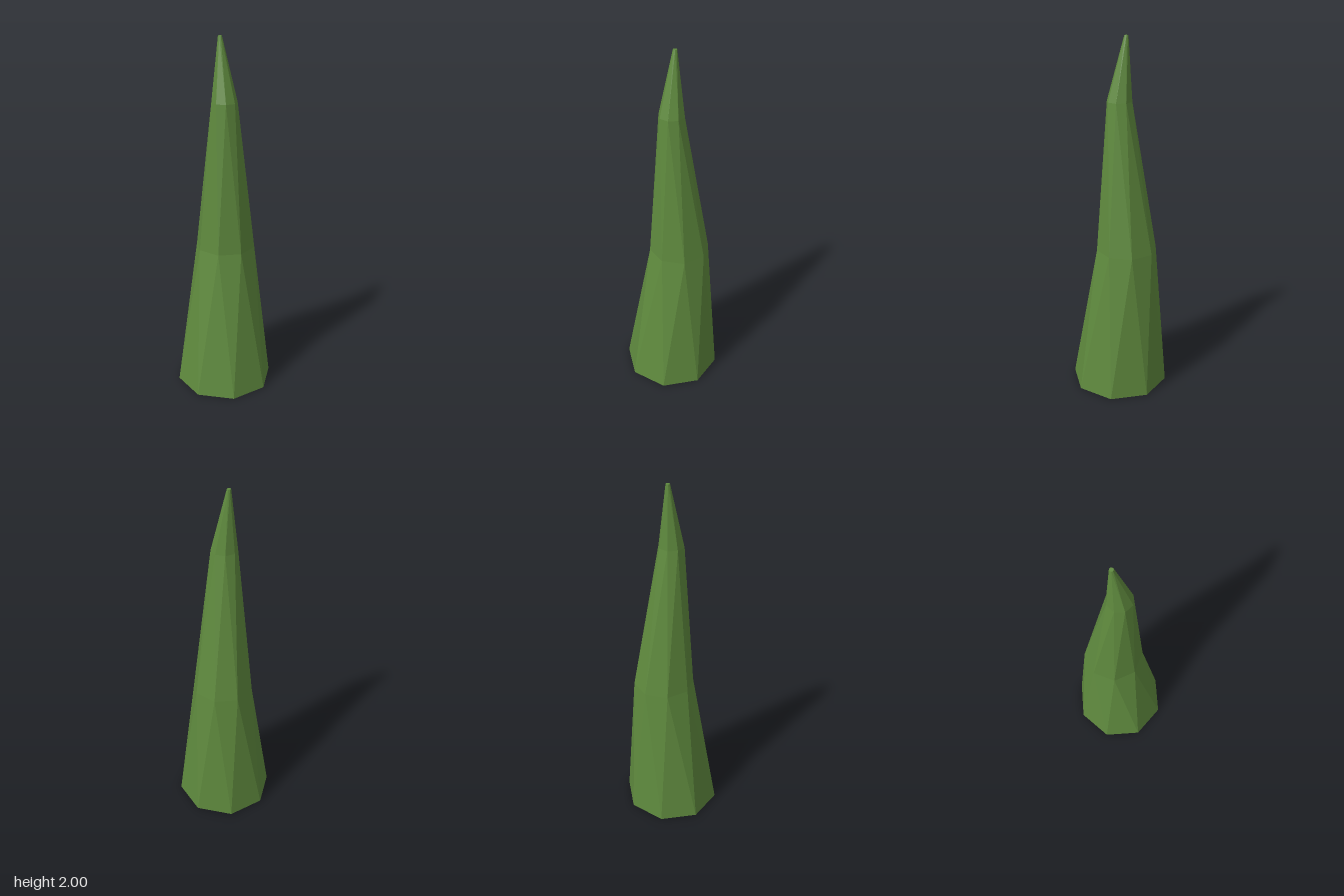
import * as THREE from 'three';

const SIDES = 8;
const TWIST = -20; // degrees of turn from each ring to the next

// Cross-sections from base to tip: height, radius and centre offset
const RINGS = [
  { y: 0, r: 0.275, x: 0, z: 0 },
  { y: 0.83, r: 0.168, x: -0.008, z: -0.044 },
  { y: 1.66, r: 0.07, x: 0, z: 0 },
  { y: 2, r: 0.011, x: -0.031, z: -0.02 },
];

function ringPoint(level, side) {
  const { y, r, x, z } = RINGS[level];
  const a = THREE.MathUtils.degToRad(16.3 + level * TWIST + (side * 360) / SIDES);
  return [x + r * Math.cos(a), y, z + r * Math.sin(a)];
}

function twistedSpikeGeometry() {
  const positions = [];
  const tri = (a, b, c) => positions.push(...a, ...b, ...c);
  const top = RINGS.length - 1;
  const centre = (level) => [RINGS[level].x, RINGS[level].y, RINGS[level].z];

  for (let i = 0; i < SIDES; i++) {
    // Side panels
    for (let k = 0; k < top; k++) {
      const low = ringPoint(k, i), lowNext = ringPoint(k, i + 1);
      const high = ringPoint(k + 1, i), highNext = ringPoint(k + 1, i + 1);
      tri(low, high, highNext);
      tri(low, highNext, lowNext);
    }
    // Base and tip caps
    tri(centre(0), ringPoint(0, i), ringPoint(0, i + 1));
    tri(centre(top), ringPoint(top, i + 1), ringPoint(top, i));
  }

  const geometry = new THREE.BufferGeometry();
  geometry.setAttribute('position', new THREE.Float32BufferAttribute(positions, 3));
  geometry.computeVertexNormals();
  return geometry;
}

export function createModel() {
  const group = new THREE.Group();
  group.name = 'spike';
  const material = new THREE.MeshStandardMaterial({ color: 0x5f8a3e, flatShading: true });
  const spike = new THREE.Mesh(twistedSpikeGeometry(), material);
  spike.name = 'twistedSpike';
  group.add(spike);
  return group;
}
